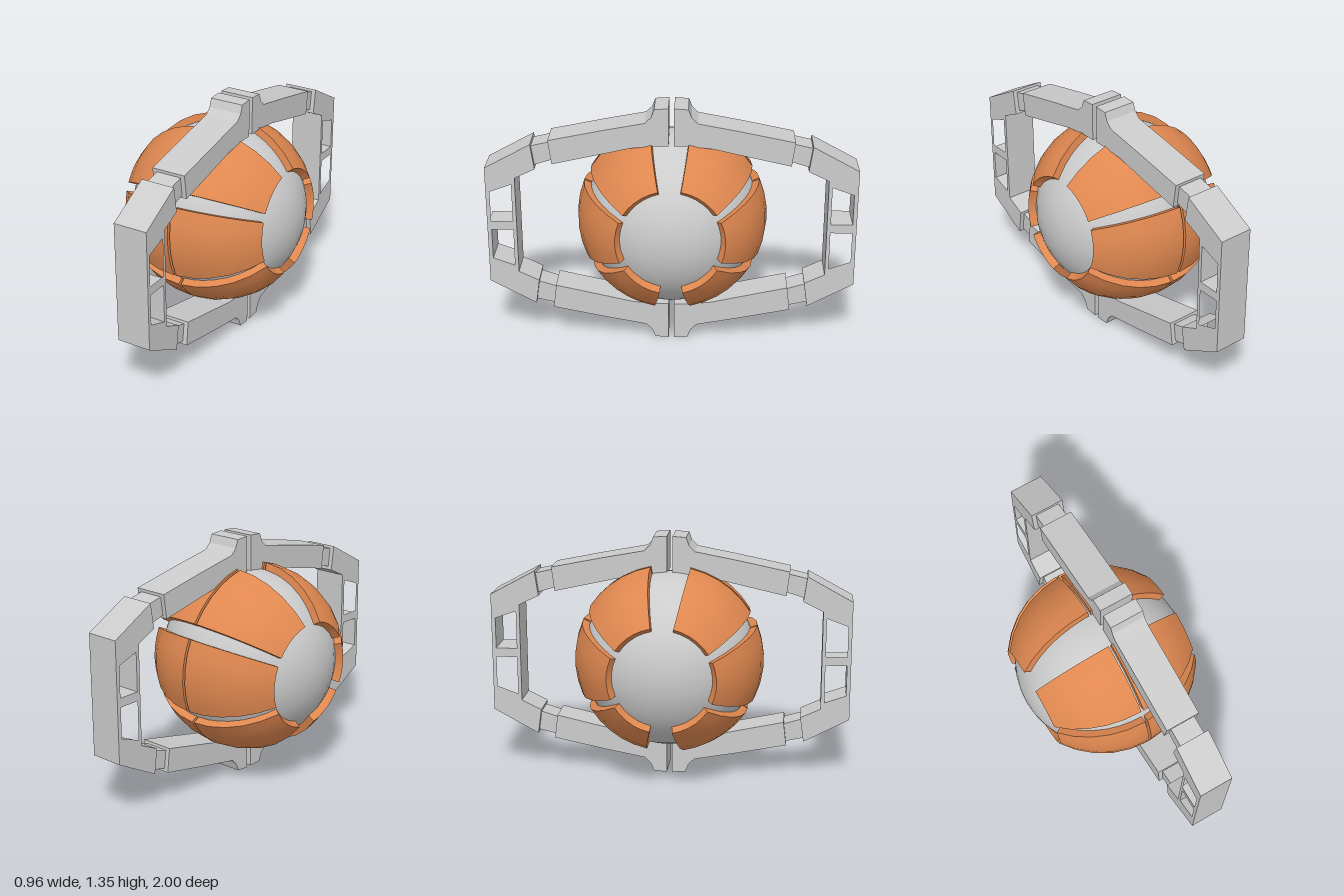
import * as THREE from 'three';
import { toCreasedNormals } from 'three/addons/utils/BufferGeometryUtils.js';

const MID = 0.678; // height of the centre
const RAD = Math.PI / 180;
const grey = new THREE.MeshStandardMaterial({ color: 0xcccccc });
const orange = new THREE.MeshStandardMaterial({ color: 0xe08850 });

// Curved plate: a box bent onto the sphere between two latitudes (along x) and two longitudes
function plateGeometry(lat0, lat1, lon0, lon1) {
  const geo = new THREE.BoxGeometry(1, 1, 1, 5, 5, 1);
  const p = geo.attributes.position;
  for (let i = 0; i < p.count; i++) {
    const lat = THREE.MathUtils.lerp(lat0, lat1, p.getX(i) + 0.5) * RAD;
    const lon = THREE.MathUtils.lerp(lon0, lon1, p.getY(i) + 0.5) * RAD;
    const r = THREE.MathUtils.lerp(0.465, 0.522, p.getZ(i) + 0.5);
    p.setXYZ(i, r * Math.sin(lat), r * Math.cos(lat) * Math.sin(lon), r * Math.cos(lat) * Math.cos(lon));
  }
  return toCreasedNormals(geo, 0.6);
}

// Outline in (z, y above centre), extruded along x and mirrored by the signs
function slab(points, sz, sy, x0, x1, hole) {
  const map = (pts) => pts.map(([z, y]) => new THREE.Vector2(z * sz, (y - MID) * sy));
  const shape = new THREE.Shape(map(points));
  if (hole) shape.holes.push(new THREE.Path(map(hole)));
  const geo = new THREE.ExtrudeGeometry(shape, { depth: x1 - x0, bevelEnabled: false });
  geo.rotateY(-Math.PI / 2);
  geo.translate(x1, 0, 0);
  return geo;
}

export function createModel() {
  const group = new THREE.Group();
  const add = (parent, name, geo, mat) => {
    const mesh = new THREE.Mesh(geo, mat);
    mesh.name = name;
    parent.add(mesh);
    return mesh;
  };

  // Central ball
  const ball = add(group, 'ball', new THREE.SphereGeometry(0.48, 40, 28), grey);
  ball.position.y = MID;

  // Six armour plates on each half, slightly tilted as a whole
  const plates = new THREE.Group();
  plates.name = 'armourPlates';
  plates.position.y = MID;
  plates.rotation.set(0.015, 0, 0.037);
  const spans = [[-23, 23], [32.3, 78], [102, 147.7]];
  for (const turn of [0, 180]) {
    for (const [a, b] of spans) {
      add(plates, 'leftPlate', plateGeometry(0.8, 56, a + turn, b + turn), orange);
      add(plates, 'rightPlate', plateGeometry(-56, -0.8, a + turn, b + turn), orange);
    }
  }
  group.add(plates);

  // Frame around the ball, four mirrored quarters
  const frame = new THREE.Group();
  frame.name = 'frame';
  frame.position.y = MID;
  const arm = [[0.015, 1.355], [0.09, 1.35], [0.107, 1.305], [0.14, 1.273], [0.22, 1.258], [0.37, 1.23],
    [0.655, 1.172], [0.638, 1.038], [0.36, 1.1], [0.22, 1.132], [0.1, 1.145], [0.015, 1.145]];
  const joint = [[0.63, 1.16], [0.76, 1.13], [0.75, 1.02], [0.62, 1.06]];
  const end = [[0.75, 1.148], [1, 1.012], [1, MID], [0.84, MID], [0.84, 0.955], [0.73, 1.008]];
  const window_ = [[0.978, 0.875], [0.978, 0.703], [0.86, 0.703], [0.86, 0.918]];
  for (const sz of [1, -1]) {
    for (const sy of [1, -1]) {
      add(frame, 'frameArm', slab(arm, sz, sy, 0, 0.19), grey);
      add(frame, 'frameJoint', slab(joint, sz, sy, 0.025, 0.165), grey);
      add(frame, 'frameEnd', slab(end, sz, sy, 0, 0.19, window_), grey);
    }
  }
  group.add(frame);
  return group;
}
